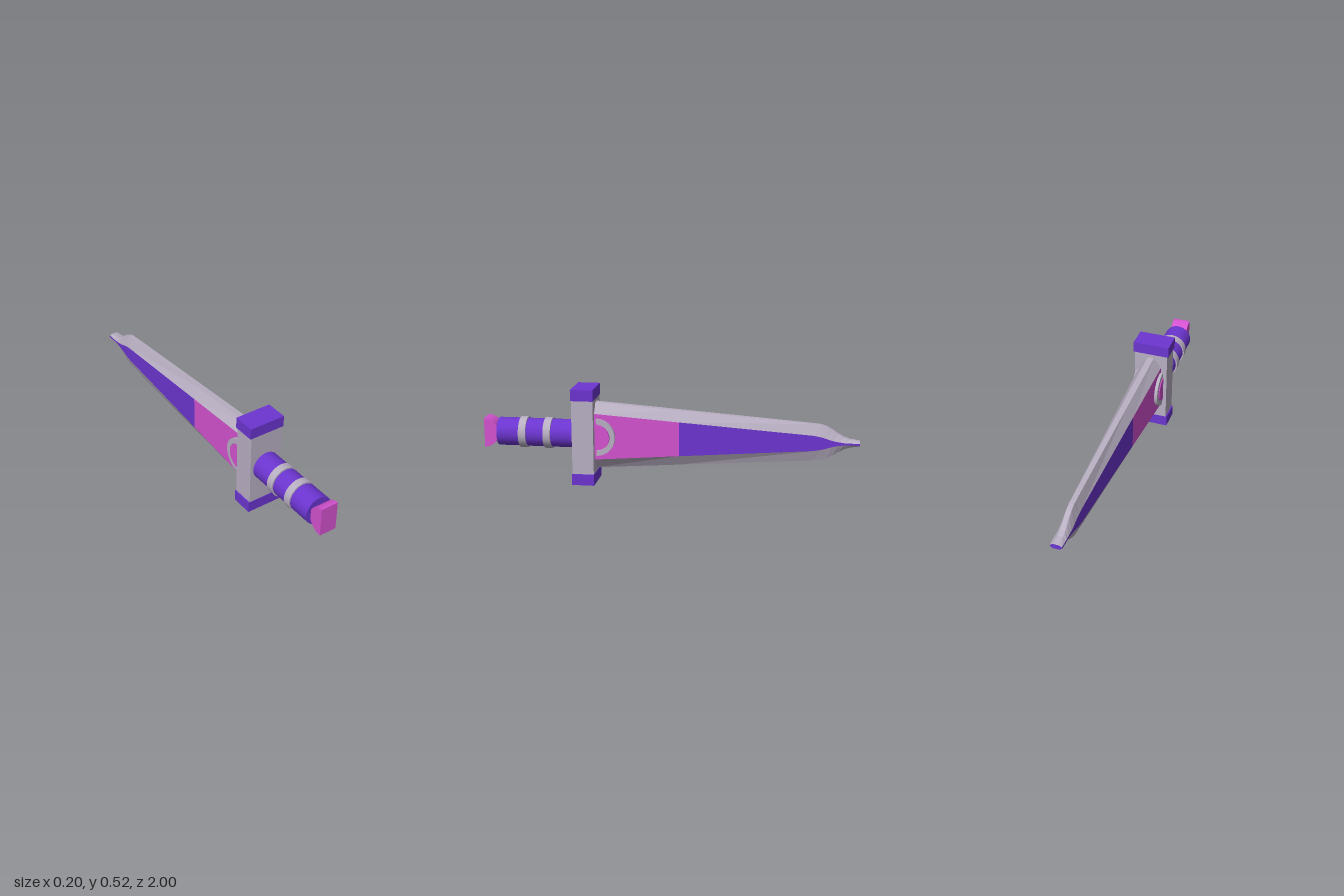
import * as THREE from 'three';

const MID = 0.26; // height of the long axis

function makeMaterial(name, color) {
  const m = new THREE.MeshStandardMaterial({ color });
  m.name = name;
  return m;
}

export function createModel() {
  const silver = makeMaterial('silver', 0xb8afc2);
  const purple = makeMaterial('purple', 0x6c35d0);
  const pink = makeMaterial('pink', 0xd452d0);
  const group = new THREE.Group();

  function add(name, geometry, material, x = 0, y = MID, z = 0) {
    const mesh = new THREE.Mesh(geometry, material);
    mesh.name = name;
    mesh.position.set(x, y, z);
    group.add(mesh);
    return mesh;
  }

  // Cylinder lying along z between two depths
  function rod(name, radius, z0, z1, material) {
    const g = new THREE.CylinderGeometry(radius, radius, z1 - z0, 32).rotateX(Math.PI / 2);
    add(name, g, material, 0, MID, (z0 + z1) / 2);
  }

  // Half disc or half ring, rounded towards -z, extruded across x
  function halfDisc(name, outer, inner, width, z, material) {
    const s = new THREE.Shape();
    s.absarc(0, 0, outer, -Math.PI / 2, Math.PI / 2, false);
    if (inner > 0) s.absarc(0, 0, inner, Math.PI / 2, -Math.PI / 2, true);
    s.closePath();
    const g = new THREE.ExtrudeGeometry(s, { depth: width, bevelEnabled: false, curveSegments: 20 });
    g.translate(0, 0, -width / 2).rotateY(Math.PI / 2);
    add(name, g, material, 0, MID, z);
  }

  // Blade stations: z, outer half height, panel half height, half thickness, edge half thickness
  const stations = [
    [0.40, 0.181, 0.126, 0.060, 0.018],
    [-0.06, 0.148, 0.092, 0.050, 0.016],
    [-0.76, 0.098, 0.041, 0.035, 0.013],
    [-0.80, 0.094, 0.034, 0.034, 0.013],
    [-0.83, 0.085, 0.025, 0.033, 0.013],
    [-0.86, 0.068, 0.016, 0.033, 0.013],
    [-0.89, 0.048, 0.010, 0.032, 0.013],
    [-0.92, 0.031, 0.006, 0.031, 0.014],
    [-0.95, 0.020, 0.005, 0.031, 0.014],
    [-1.00, 0.013, 0.005, 0.030, 0.014],
  ];
  const sections = stations.map(([z, H, h, w, e]) =>
    [[w, h], [e, H], [-e, H], [-w, h], [-w, -h], [-e, -H], [e, -H], [w, -h]].map(([x, y]) => [x, y, z]));

  function faces(name, triangles, material) {
    const g = new THREE.BufferGeometry();
    g.setAttribute('position', new THREE.Float32BufferAttribute(triangles.flat(2), 3));
    g.computeVertexNormals();
    add(name, g, material);
  }

  const edge = [], nearPanel = [], farPanel = [];
  for (let s = 0; s < sections.length - 1; s++) {
    for (let i = 0; i < 8; i++) {
      const j = (i + 1) % 8;
      const a = sections[s][i], b = sections[s][j];
      const c = sections[s + 1][j], d = sections[s + 1][i];
      const isPanel = i === 3 || i === 7;
      const list = !isPanel ? edge : s === 0 ? nearPanel : farPanel;
      list.push([a, d, c], [a, c, b]);
    }
  }
  faces('bladeEdges', edge, silver);
  faces('bladeLowerPanels', nearPanel, pink);
  faces('bladeUpperPanels', farPanel, purple);

  // Blunt end of the tip
  const end = sections[sections.length - 1];
  const cap = [];
  for (let i = 1; i < 7; i++) cap.push([end[0], end[i + 1], end[i]]);
  faces('bladeTip', cap, purple);

  // Half-round gem with its rim on both sides of the blade
  halfDisc('gemRim', 0.1, 0.072, 0.15, 0.38, silver);
  halfDisc('gem', 0.068, 0, 0.158, 0.378, pink);

  // Cross guard
  add('guard', new THREE.BoxGeometry(0.186, 0.4, 0.116), silver, 0, MID, 0.45);
  for (const side of [-1, 1]) {
    add(side > 0 ? 'guardTopCap' : 'guardBottomCap',
      new THREE.BoxGeometry(0.2, 0.06, 0.12), purple, 0, MID + side * 0.23, 0.45);
  }

  // Handle with bands
  rod('grip', 0.076, 0.5, 0.925, purple);
  for (const z of [0.65, 0.785]) rod('gripBand', 0.084, z - 0.02, z + 0.02, silver);

  // Pommel
  halfDisc('pommel', 0.079, 0, 0.095, 1, pink);

  return group;
}
